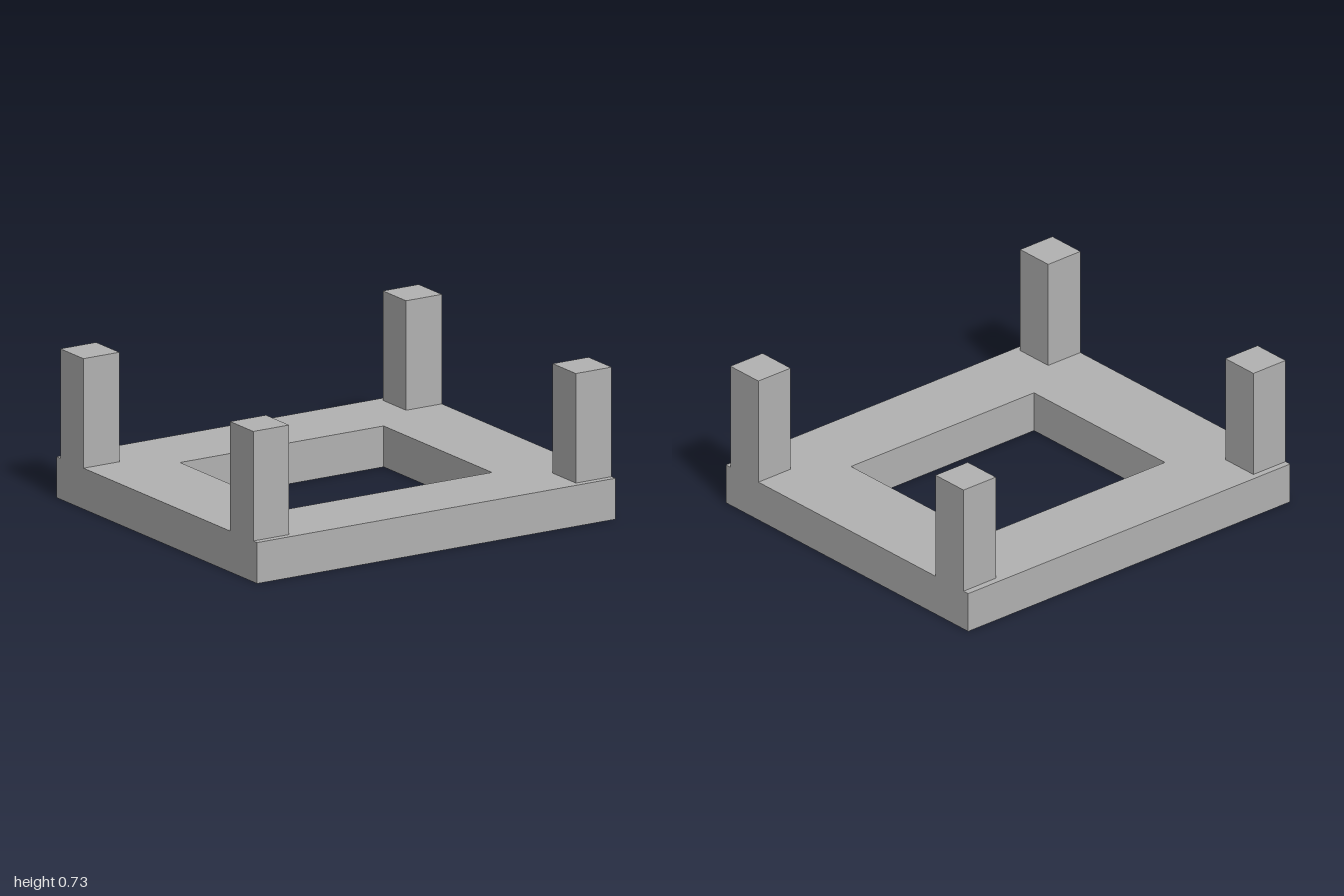
import * as THREE from 'three';

const rect = (Type, x, y) => {
  const p = new Type();
  p.moveTo(-x, -y);
  p.lineTo(x, -y);
  p.lineTo(x, y);
  p.lineTo(-x, y);
  p.closePath();
  return p;
};

export function createModel() {
  const model = new THREE.Group();
  model.name = 'postedFrame';
  const grey = new THREE.MeshStandardMaterial({ color: 0xb2b2b2 });
  grey.name = 'grey';

  // Flat base slab with a rectangular opening
  const outline = rect(THREE.Shape, 1, 0.865);
  outline.holes.push(rect(THREE.Path, 0.568, 0.467));
  const slab = new THREE.ExtrudeGeometry(outline, { depth: 0.2, bevelEnabled: false });
  slab.rotateX(-Math.PI / 2);
  const base = new THREE.Mesh(slab, grey);
  base.name = 'baseFrame';
  model.add(base);

  // Square corner posts, flush with the sides and set in from front and back
  const postHeight = 0.534;
  const postGeometry = new THREE.BoxGeometry(0.2, postHeight, 0.2);
  for (const [x, side] of [[1, 'Left'], [-1, 'Right']]) {
    for (const [z, end] of [[1, 'front'], [-1, 'back']]) {
      const post = new THREE.Mesh(postGeometry, grey);
      post.name = `${end}${side}Post`;
      post.position.set(0.9 * x, 0.2 + postHeight / 2, 0.732 * z);
      model.add(post);
    }
  }
  return model;
}
